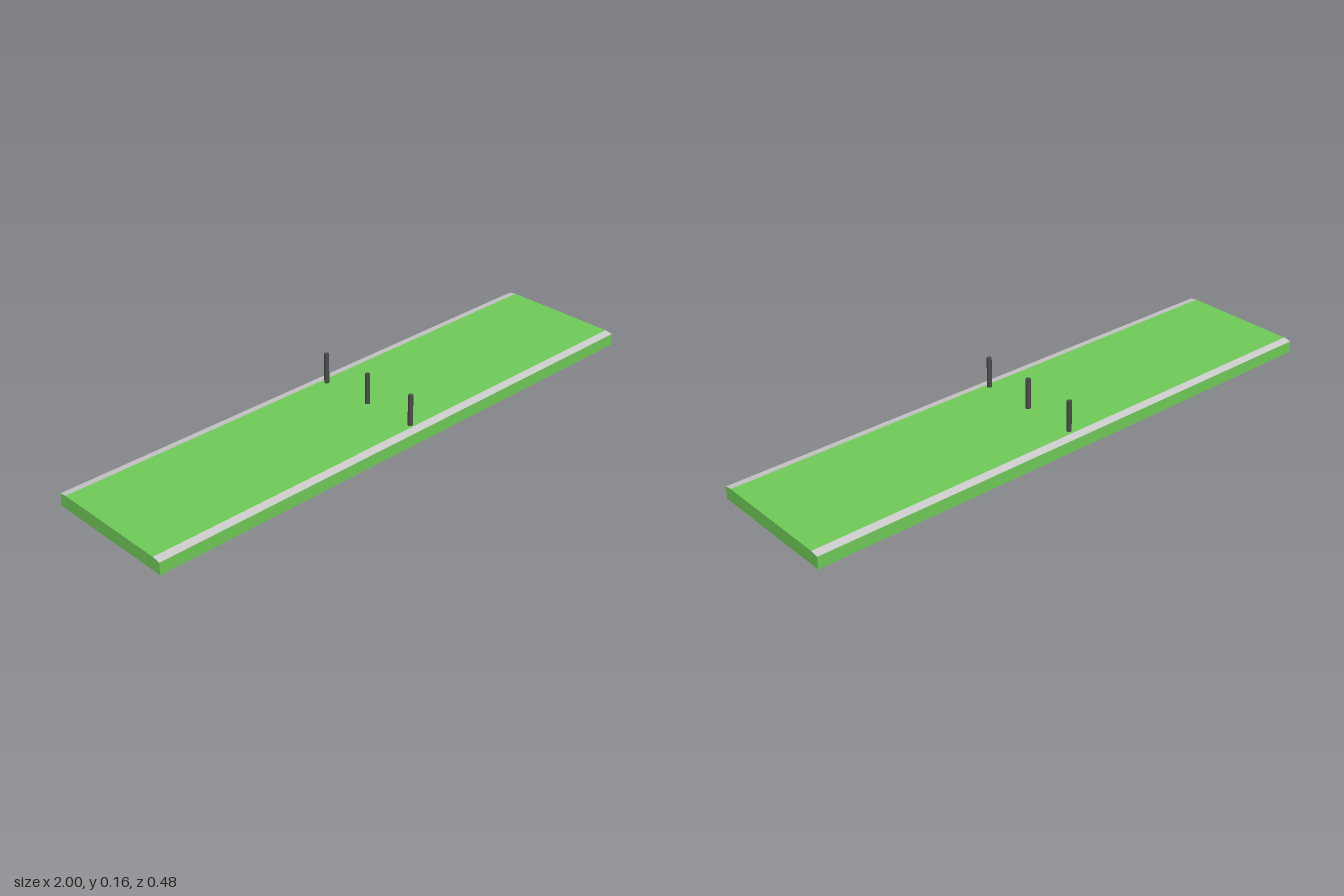
import * as THREE from 'three';

const LENGTH = 2, HALF_WIDTH = 0.24, TOP_HALF = 0.212, EDGE_Y = 0.042, TOP_Y = 0.047;

const material = (color) => new THREE.MeshStandardMaterial({ color });

// Extrudes a (z, y) cross-section along the whole length in x
function alongLength(points) {
  const shape = new THREE.Shape(points.map(([z, y]) => new THREE.Vector2(z, y)));
  return new THREE.ExtrudeGeometry(shape, { depth: LENGTH, bevelEnabled: false })
    .translate(0, 0, -LENGTH / 2)
    .rotateY(Math.PI / 2);
}

export function createModel() {
  const model = new THREE.Group();
  const add = (name, geometry, mat) => {
    const mesh = new THREE.Mesh(geometry, mat);
    mesh.name = name;
    model.add(mesh);
    return mesh;
  };

  // Slab with gently sloped long edges
  add('slab', alongLength([
    [-HALF_WIDTH, 0], [HALF_WIDTH, 0], [HALF_WIDTH, EDGE_Y],
    [TOP_HALF, TOP_Y], [-TOP_HALF, TOP_Y], [-HALF_WIDTH, EDGE_Y],
  ]), material(0x70cc58));

  // Thin grey strips lying on both slopes
  const grey = material(0xcccccc);
  const lift = 0.0006;
  for (const side of [1, -1]) {
    add(side > 0 ? 'frontEdgeStrip' : 'backEdgeStrip', alongLength([
      [side * HALF_WIDTH, EDGE_Y], [side * HALF_WIDTH, EDGE_Y + lift],
      [side * TOP_HALF, TOP_Y + lift], [side * TOP_HALF, TOP_Y],
    ]), grey);
  }

  // Row of three dark posts across the slab
  const dark = material(0x4c4c4c);
  const postTop = 0.155, postBottom = TOP_Y - 0.005;
  const postGeometry = new THREE.CylinderGeometry(0.0085, 0.0085, postTop - postBottom, 16);
  [0.197, 0.002, -0.193].forEach((z, i) => {
    add(['frontPost', 'middlePost', 'backPost'][i], postGeometry, dark)
      .position.set(0.02, (postTop + postBottom) / 2, z);
  });

  return model;
}
